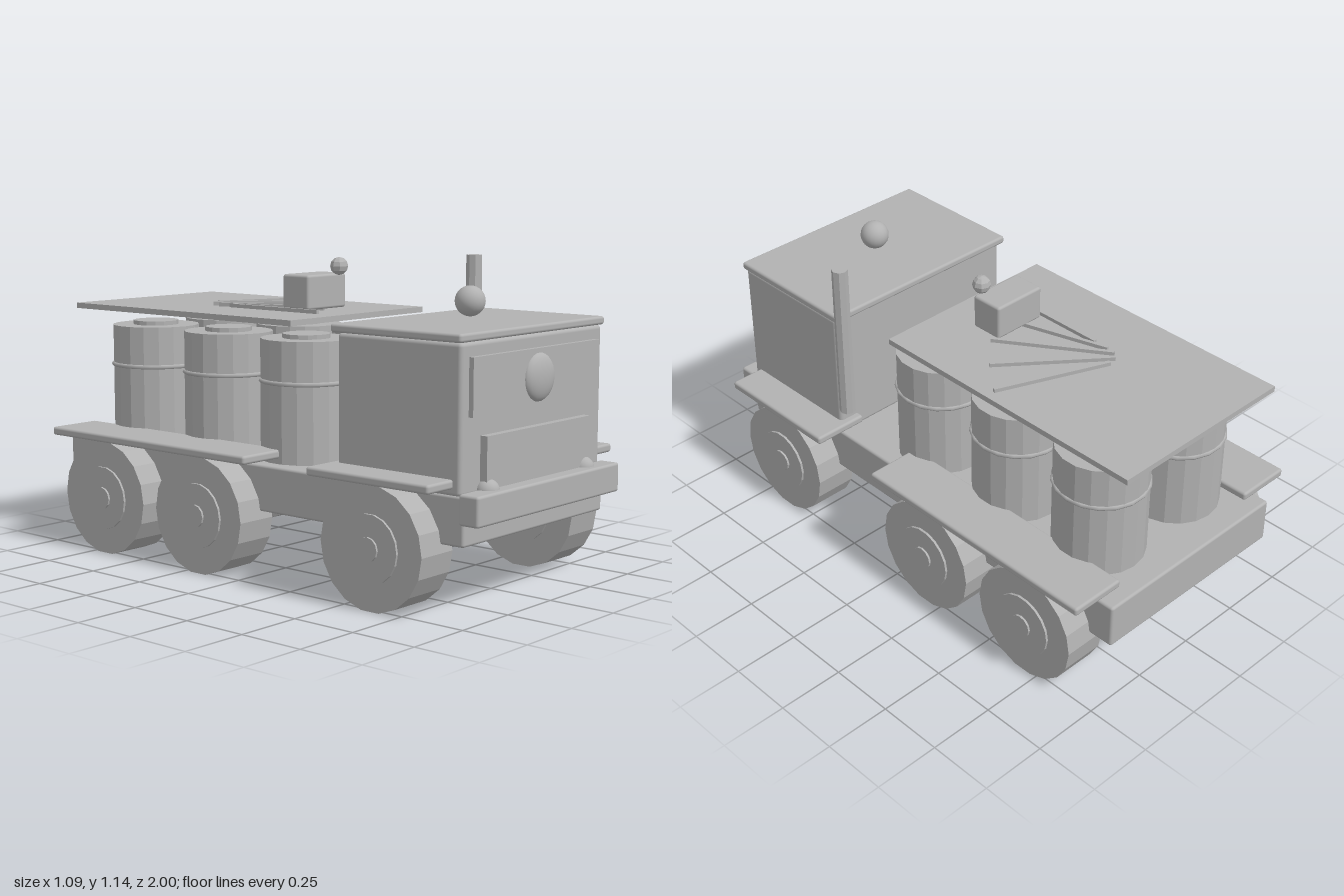
import * as THREE from 'three';
import { RoundedBoxGeometry } from 'three/addons/geometries/RoundedBoxGeometry.js';

export function createModel() {
  const truck = new THREE.Group();
  truck.name = 'truck';
  const grey = new THREE.MeshStandardMaterial({ color: 0xb2b2b2 });
  grey.name = 'plain grey';
  const greyFlat = new THREE.MeshStandardMaterial({ color: 0xb2b2b2, flatShading: true });
  greyFlat.name = 'plain grey faceted';

  const add = (name, geometry, parent = truck, material = grey) => {
    const mesh = new THREE.Mesh(geometry, material);
    mesh.name = name;
    parent.add(mesh);
    return mesh;
  };
  // Box given by its limits; a bevel above zero rounds its edges
  const box = (name, [x0, x1], [y0, y1], [z0, z1], bevel = 0) => {
    const size = [x1 - x0, y1 - y0, z1 - z0];
    const geometry = bevel ? new RoundedBoxGeometry(...size, 2, bevel) : new THREE.BoxGeometry(...size);
    geometry.translate((x0 + x1) / 2, (y0 + y1) / 2, (z0 + z1) / 2);
    return add(name, geometry);
  };
  // Upright cylinder between two heights
  const post = (name, radius, y0, y1, sides, parent) =>
    add(name, new THREE.CylinderGeometry(radius, radius, y1 - y0, sides).translate(0, (y0 + y1) / 2, 0), parent, greyFlat);
  // Cylinder along x between two positions
  const drum = (name, radius, x0, x1, sides, parent) =>
    add(name, new THREE.CylinderGeometry(radius, radius, x1 - x0, sides).rotateZ(Math.PI / 2)
      .translate((x0 + x1) / 2, 0, 0), parent, greyFlat);
  const ball = (name, radius, x, y, z, w = 20, h = 14, material = grey) => {
    const mesh = add(name, new THREE.SphereGeometry(radius, w, h), truck, material);
    mesh.position.set(x, y, z);
    return mesh;
  };

  // Body
  box('chassis', [-0.415, 0.415], [0.245, 0.415], [-1, 0.935], 0.01);
  box('bumper', [-0.425, 0.425], [0.32, 0.425], [0.92, 1], 0.01);
  box('cab', [-0.415, 0.415], [0.41, 0.915], [0.393, 0.92], 0.015);
  box('cabRoof', [-0.427, 0.427], [0.915, 0.945], [0.37, 0.925], 0.01);
  box('windscreen', [-0.373, 0.373], [0.67, 0.867], [0.91, 0.938]);
  box('grille', [-0.307, 0.307], [0.42, 0.603], [0.91, 0.948]);
  ball('frontDisc', 0.084, 0, 0.768, 0.935).scale.z = 0.4;
  ball('roofLamp', 0.054, 0, 1.01, 0.645);
  for (const s of [-1, 1]) ball('headlight', 0.042, s * 0.285, 0.417, 0.935);

  // Exhaust behind the right-hand corner of the front view
  post('exhaust', 0.03, 0.53, 1.143, 8).position.set(0.404, 0, 0.363);

  // Mudguards
  for (const s of [-1, 1]) {
    const span = s > 0 ? [0.33, 0.547] : [-0.547, -0.33];
    box('frontMudguard', span, [0.435, 0.467], [0.365, 0.89], 0.01);
    box('rearMudguard', span, [0.435, 0.467], [-0.957, 0.073], 0.01);
  }

  // Axles and wheels
  for (const z of [0.63, -0.185, -0.69]) {
    const axle = new THREE.Group();
    axle.name = 'axleAssembly';
    axle.position.set(0, 0.217, z);
    truck.add(axle);
    drum('axle', 0.03, -0.36, 0.36, 8, axle);
    for (const s of [-1, 1]) {
      const wheel = new THREE.Group();
      wheel.name = 'wheel';
      wheel.rotation.y = s > 0 ? 0 : Math.PI;
      axle.add(wheel);
      drum('tyre', 0.218, 0.357, 0.522, 18, wheel);
      drum('hub', 0.12, 0.348, 0.531, 18, wheel);
      drum('hubCap', 0.042, 0.345, 0.539, 12, wheel);
    }
  }

  // Barrels in three rows of two
  for (const z of [0.058, -0.337, -0.735]) {
    for (const x of [-0.198, 0.198]) {
      const barrel = new THREE.Group();
      barrel.name = 'barrel';
      barrel.position.set(x, 0, z);
      truck.add(barrel);
      post('barrelBody', 0.168, 0.41, 0.858, 18, barrel);
      post('barrelLid', 0.088, 0.85, 0.874, 16, barrel);
      add('barrelHoop', new THREE.TorusGeometry(0.166, 0.009, 6, 18).rotateX(Math.PI / 2)
        .translate(0, 0.705, 0), barrel);
    }
  }

  // Canopy with its box and small knob
  box('canopy', [-0.375, 0.375], [0.916, 0.937], [-1, 0.142]);
  box('canopyBox', [-0.107, 0.107], [0.945, 1.074], [-0.143, -0.015], 0.01);
  ball('knob', 0.034, 0.065, 1.101, -0.013, 8, 6, greyFlat);

  // Fan of flat rods: start x, start z, end x, end z
  const rods = [
    [-0.13, -0.39, -0.13, 0.053],
    [-0.13, -0.45, 0, -0.03],
    [-0.125, -0.487, 0.125, -0.122],
    [-0.104, -0.51, 0.24, -0.232],
    [-0.068, -0.518, 0.338, -0.354],
  ];
  for (const [x0, z0, x1, z1] of rods) {
    const rod = add('rod', new THREE.BoxGeometry(0.014, 0.014, Math.hypot(x1 - x0, z1 - z0)));
    rod.position.set((x0 + x1) / 2, 0.945, (z0 + z1) / 2);
    rod.rotation.y = Math.atan2(x1 - x0, z1 - z0);
  }
  return truck;
}
